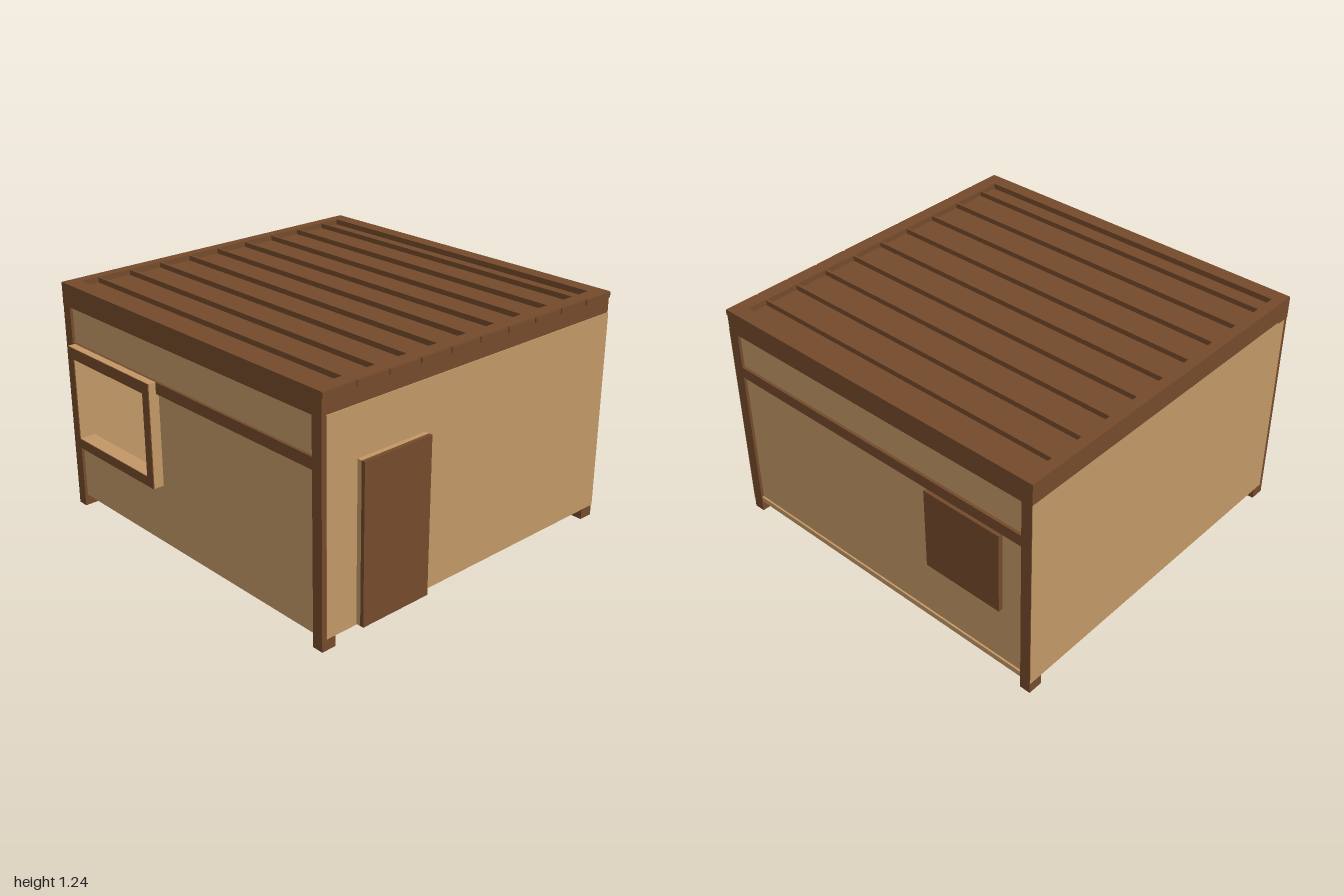
import * as THREE from 'three';

export function createModel() {
  const house = new THREE.Group();
  house.name = 'house';
  const tan = new THREE.MeshStandardMaterial({ color: 0xc29766 });
  tan.name = 'tan plaster';
  const brown = new THREE.MeshStandardMaterial({ color: 0x744a2b });
  brown.name = 'brown timber';

  const add = (name, geometry, material) => {
    const mesh = new THREE.Mesh(geometry, material);
    mesh.name = name;
    house.add(mesh);
    return mesh;
  };
  // Box given by its extents on each axis
  const box = (name, material, [x0, x1], [y0, y1], [z0, z1]) =>
    add(name, new THREE.BoxGeometry(x1 - x0, y1 - y0, z1 - z0), material)
      .position.set((x0 + x1) / 2, (y0 + y1) / 2, (z0 + z1) / 2);
  // Rectangular panel facing sideways, with one rectangular opening
  const rect = (Type, [z0, z1], [y0, y1]) => new Type([
    new THREE.Vector2(-z1, y0), new THREE.Vector2(-z0, y0),
    new THREE.Vector2(-z0, y1), new THREE.Vector2(-z1, y1),
  ]);
  const openPanel = (name, material, [x0, x1], z, y, holeZ, holeY) => {
    const shape = rect(THREE.Shape, z, y);
    shape.holes.push(rect(THREE.Path, holeZ, holeY));
    const geometry = new THREE.ExtrudeGeometry(shape, { depth: x1 - x0, bevelEnabled: false });
    geometry.rotateY(Math.PI / 2).translate(x0, 0, 0);
    add(name, geometry, material);
  };

  const X0 = -0.94, X1 = 0.97, TOP = 1.24;
  const holeZ = [-0.87, -0.27], holeY = [0.43, 0.87];

  // Floor and walls
  box('floor', tan, [-0.915, 0.965], [0.06, 0.09], [-0.995, 0.95]);
  box('frontWall', tan, [-0.915, 0.969], [0.06, 1.13], [0.935, 0.955]);
  box('backWall', tan, [-0.915, 0.969], [0.06, 1.13], [-1, -0.98]);
  box('leftWall', tan, [0.92, 0.955], [0.06, 1.13], [-0.98, 0.935]);
  openPanel('rightWall', tan, [-0.925, -0.895], [-0.98, 0.935], [0.06, 1.13], holeZ, holeY);

  // Corner posts
  for (const x of [[X0, -0.86], [0.89, X1]])
    for (const z of [[-0.998, -0.94], [0.89, 0.95]]) box('cornerPost', brown, x, [0, 1.13], z);

  // Roof beams and the side rails below them
  for (const x of [[X0, -0.86], [0.89, X1]]) box('sideBeam', brown, x, [1.12, TOP], [-1, 0.95]);
  box('frontBeam', brown, [-0.86, 0.89], [1.13, TOP], [0.88, 0.95]);
  box('backBeam', brown, [-0.86, 0.89], [1.13, TOP], [-1, -0.945]);
  for (const x of [[X0, -0.91], [0.94, X1]]) box('sideRail', brown, x, [0.87, 0.93], [-0.94, 0.89]);

  // Sunken roof deck with narrow battens, and a jointed trim along the front
  box('roofDeck', brown, [-0.87, 0.9], [1.17, 1.21], [-0.955, 0.89]);
  const joints = Array.from({ length: 9 }, (_, i) => -0.75 + i * 0.191);
  for (const x of joints)
    box('roofBatten', brown, [x - 0.007, x + 0.007], [1.2, 1.237], [-0.945, 0.88]);
  const ends = [X0 - 0.005, ...joints, X1 + 0.005];
  for (let i = 0; i < ends.length - 1; i++)
    box('roofTrim', brown, [ends[i] + 0.005, ends[i + 1] - 0.005], [1.21, 1.238], [0.95, 0.957]);

  // Door: tan surround with a brown leaf
  box('doorFrame', tan, [-0.74, -0.33], [0.065, 0.88], [0.95, 0.98]);
  box('doorLeaf', brown, [-0.74, -0.33], [0.065, 0.88], [0.98, 1]);

  // Closed shutter on one side, open framed window on the other
  box('shutter', brown, [0.945, 0.98], [0.41, 0.86], [-0.82, -0.37]);
  openPanel('windowFrame', tan, [-0.98, -0.925], [-0.92, -0.22], [0.38, 0.93], holeZ, holeY);
  openPanel('windowRim', brown, [-0.985, -0.98], [-0.92, -0.22], [0.38, 0.93], holeZ, holeY);

  // Thin plates under the floor
  box('floorPlate', brown, [0.82, 0.955], [0.055, 0.061], [-0.68, -0.2]);
  box('floorStrip', brown, [-0.36, -0.32], [0.055, 0.061], [-0.52, -0.34]);

  return house;
}
